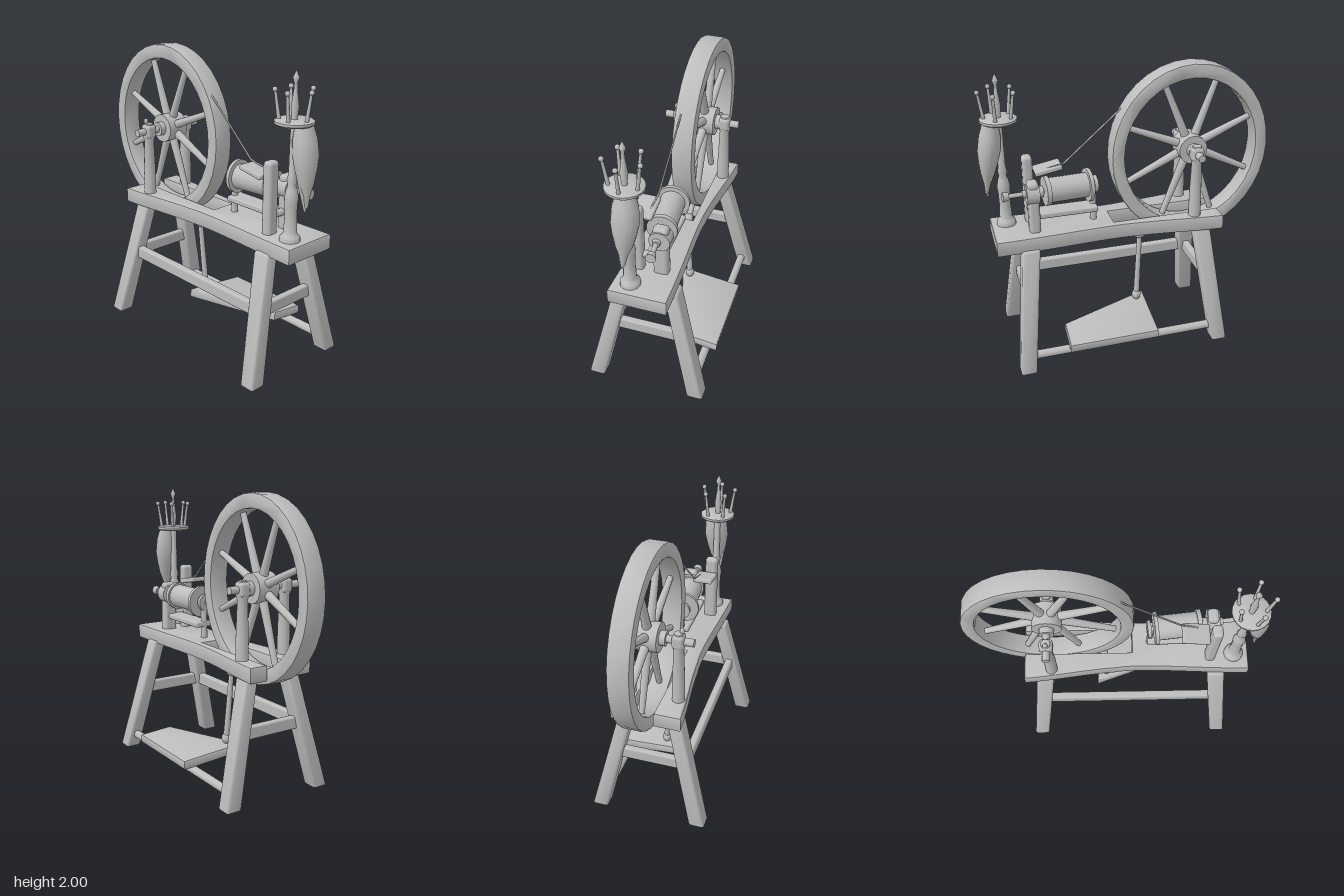
import * as THREE from 'three';
import { toCreasedNormals } from 'three/addons/utils/BufferGeometryUtils.js';
import { RoundedBoxGeometry } from 'three/addons/geometries/RoundedBoxGeometry.js';

const V = (x, y, z) => new THREE.Vector3(x, y, z);

export function createModel() {
  const model = new THREE.Group();
  const wood = new THREE.MeshStandardMaterial({ color: 0xbdbdbd });
  wood.name = 'paleGrey';

  const add = (name, geometry, x = 0, y = 0, z = 0) => {
    const mesh = new THREE.Mesh(geometry, wood);
    mesh.name = name;
    mesh.position.set(x, y, z);
    model.add(mesh);
    return mesh;
  };
  const box = (name, w, h, d, x, y, z, r = 0.012) =>
    add(name, new RoundedBoxGeometry(w, h, d, 2, r), x, y, z);
  // Round bar from a to b
  const rod = (name, a, b, ra, rb = ra, sides = 12) => {
    const mesh = add(name, new THREE.CylinderGeometry(rb, ra, a.distanceTo(b), sides));
    mesh.position.copy(a).add(b).multiplyScalar(0.5);
    mesh.quaternion.setFromUnitVectors(V(0, 1, 0), b.clone().sub(a).normalize());
    return mesh;
  };
  // Square bar from a to b
  const beam = (name, a, b, w, d) => {
    const mesh = add(name, new RoundedBoxGeometry(w, d, a.distanceTo(b), 2, 0.015));
    mesh.position.copy(a).add(b).multiplyScalar(0.5);
    mesh.lookAt(b);
    return mesh;
  };
  const ball = (name, p, rx, ry = rx, rz = rx) =>
    add(name, new THREE.SphereGeometry(1, 14, 10), p.x, p.y, p.z).scale.set(rx, ry, rz);
  const turned = (name, points, x, z, sides = 16) =>
    add(name, toCreasedNormals(new THREE.LatheGeometry(
      points.map(([r, y]) => new THREE.Vector2(r, y)), sides), 0.7), x, 0, z);

  // Waisted bench with an open slot at the back for the wheel
  const bench = new THREE.Shape();
  bench.moveTo(-0.18, -0.93);
  bench.lineTo(0.18, -0.93);
  bench.bezierCurveTo(0.18, -0.5, 0.14, -0.2, 0.16, 0);
  bench.bezierCurveTo(0.17, 0.2, 0.21, 0.4, 0.225, 0.62);
  bench.lineTo(0.125, 0.62);
  bench.lineTo(0.125, -0.14);
  bench.lineTo(-0.07, -0.14);
  bench.lineTo(-0.07, 0.62);
  bench.lineTo(-0.225, 0.62);
  bench.bezierCurveTo(-0.21, 0.4, -0.17, 0.2, -0.16, 0);
  bench.bezierCurveTo(-0.13, -0.2, -0.17, -0.5, -0.18, -0.93);
  const benchGeo = new THREE.ExtrudeGeometry(bench, {
    depth: 0.08, bevelSize: 0.014, bevelThickness: 0.015, bevelSegments: 2, curveSegments: 10,
  });
  benchGeo.rotateX(-Math.PI / 2);
  add('bench', toCreasedNormals(benchGeo, 0.7), 0, 0.845, 0);

  // Splayed legs, sheared so that the feet stay level
  for (const side of [-1, 1]) {
    for (const [name, zTop, zFoot] of [['frontLeg', 0.72, 0.82], ['backLeg', -0.49, -0.585]]) {
      const geo = new RoundedBoxGeometry(0.11, 0.85, 0.115, 2, 0.018);
      const p = geo.attributes.position;
      for (let i = 0; i < p.count; i++) {
        const t = p.getY(i) / 0.85 + 0.5;
        p.setXYZ(i, p.getX(i) * (1.03 - 0.17 * t) + side * (0.36 - 0.2 * t), p.getY(i) + 0.425,
          p.getZ(i) * (0.96 + 0.1 * t) + zFoot + (zTop - zFoot) * t);
      }
      geo.computeVertexNormals();
      add(name, toCreasedNormals(geo, 0.7));
    }
  }

  // Stretchers
  beam('frontStretcher', V(-0.23, 0.475, 0.76), V(0.23, 0.475, 0.76), 0.05, 0.09);
  beam('backStretcher', V(-0.23, 0.475, -0.53), V(0.23, 0.475, -0.53), 0.05, 0.09);
  beam('sideStretcher', V(-0.245, 0.475, 0.74), V(-0.245, 0.475, -0.51), 0.055, 0.09);
  rod('treadleBar', V(0.33, 0.1, 0.8), V(0.33, 0.1, -0.57), 0.03);

  // Treadle board, tilted down to its outer edge
  const board = new THREE.Shape([[-0.04, 0.12], [0.18, -0.5], [0.4, -0.51], [0.4, 0.1]]
    .map(([x, y]) => new THREE.Vector2(x, y)));
  const boardGeo = new THREE.ExtrudeGeometry(board, {
    depth: 0.04, bevelSize: 0.014, bevelThickness: 0.014, bevelSegments: 2,
  });
  boardGeo.rotateX(-Math.PI / 2);
  add('treadle', toCreasedNormals(boardGeo, 0.7), 0, 0.17, 0).rotation.z = -0.09;

  // Footman rod and crank
  rod('footman', V(0.035, 0.25, -0.06), V(0.01, 0.75, -0.09), 0.022, 0.018);
  ball('footmanLowerJoint', V(0.035, 0.26, -0.06), 0.033, 0.04, 0.033);
  ball('footmanUpperJoint', V(0.01, 0.76, -0.09), 0.035, 0.035, 0.045);
  rod('crank', V(0.01, 0.765, -0.11), V(0.02, 0.85, -0.17), 0.02);

  // Wheel
  const cy = 1.385, cz = -0.432, hub = V(0.028, 1.4, -0.442);
  const rim = new THREE.Shape();
  rim.absellipse(0, 0, 0.55, 0.602, 0, Math.PI * 2);
  const opening = new THREE.Path();
  opening.absellipse(0, 0, 0.487, 0.528, 0, Math.PI * 2, true);
  rim.holes.push(opening);
  const rimGeo = new THREE.ExtrudeGeometry(rim, {
    depth: 0.115, bevelSize: 0.013, bevelThickness: 0.014, bevelSegments: 2, curveSegments: 18,
  });
  rimGeo.rotateY(Math.PI / 2);
  add('wheelRim', toCreasedNormals(rimGeo, 0.6), -0.03, cy, cz);
  for (let i = 0; i < 8; i++) {
    const a = (i + 0.5) * Math.PI / 4;
    rod('spoke', V(hub.x, hub.y + 0.06 * Math.sin(a), hub.z + 0.06 * Math.cos(a)),
      V(hub.x, cy + 0.54 * Math.sin(a), cz + 0.5 * Math.cos(a)), 0.031, 0.02);
  }
  rod('hub', V(-0.05, hub.y, hub.z), V(0.105, hub.y, hub.z), 0.1, 0.1, 20);
  rod('hubCollar', V(-0.09, hub.y, hub.z), V(0.145, hub.y, hub.z), 0.05);
  rod('axle', V(-0.27, hub.y, hub.z), V(0.27, hub.y, hub.z), 0.026);

  // Wheel posts
  for (const side of [-1, 1]) {
    const x = side * 0.168;
    turned('wheelPost', [[0, 0.9], [0.043, 0.9], [0.042, 1.1], [0.034, 1.33], [0.042, 1.36],
      [0.044, 1.42], [0.03, 1.455], [0, 1.46]], x, hub.z);
    box('axleBearing', 0.08, 0.1, 0.09, x, 1.4, hub.z, 0.025);
  }
  ball('postFinial', V(-0.19, 1.475, hub.z), 0.016, 0.02, 0.016);

  // Spool and spindle
  const start = V(0.075, 1.21, 0.87), end = V(0.015, 1.2, 0.22);
  const along = (z) => start.clone().lerp(end, (start.z - z) / (start.z - end.z));
  rod('spindle', start, end, 0.016);
  rod('spindleTip', start, along(0.83), 0.034, 0.026);
  rod('spindleCollar', along(0.74), along(0.6), 0.025, 0.04);
  rod('spool', along(0.57), along(0.27), 0.085, 0.085, 20);
  rod('frontFlange', along(0.59), along(0.56), 0.1, 0.1, 20);
  rod('backFlange', along(0.295), along(0.27), 0.115, 0.115, 20);
  rod('pulley', along(0.25), along(0.225), 0.06, 0.06, 16);

  // Spool frame
  box('tallUpright', 0.09, 0.5, 0.07, -0.085, 1.17, 0.675, 0.025);
  box('shortUpright', 0.1, 0.38, 0.075, 0.075, 1.11, 0.67, 0.025);
  rod('shortUprightCap', V(0.075, 1.21, 0.715), V(0.075, 1.21, 0.63), 0.07, 0.07, 16);
  rod('frameCrossbar', V(-0.1, 1.055, 0.675), V(0.1, 1.055, 0.675), 0.025);
  box('frameRail', 0.13, 0.04, 0.44, 0.03, 1.04, 0.45);
  rod('backUpright', V(0.02, 0.9, 0.25), V(0.02, 1.2, 0.25), 0.024, 0.02);
  box('guideBlock', 0.14, 0.035, 0.19, -0.07, 1.32, 0.54).rotation.x = -0.2 + 0.38;

  // Drive cord
  rod('driveCord', V(-0.02, 1.36, 0.435), V(0.0, 1.765, -0.02), 0.006, 0.006, 6);
  rod('cordEnd', V(-0.03, 1.33, 0.56), V(-0.02, 1.36, 0.435), 0.006, 0.006, 6);

  // Distaff post
  const dx = -0.075, dz = 0.84;
  turned('distaffPost', [[0, 0.92], [0.068, 0.92], [0.065, 0.965], [0.043, 0.99], [0.038, 1.1],
    [0.04, 1.18], [0.045, 1.22], [0.035, 1.27], [0.025, 1.3], [0.033, 1.33], [0.024, 1.37],
    [0.022, 1.67], [0.018, 1.72], [0.025, 1.78], [0.012, 1.88], [0.01, 1.92],
    [0.02, 1.95], [0.012, 1.97], [0, 2]], dx, dz);
  turned('distaffDisc', [[0, 1.675], [0.11, 1.675], [0.122, 1.685], [0.122, 1.7],
    [0.11, 1.708], [0, 1.708]], dx, dz, 20);
  for (let i = 0; i < 5; i++) {
    const a = i * Math.PI * 2 / 5 + 0.3;
    const at = (r, y) => V(dx + r * Math.cos(a), y, dz + r * Math.sin(a));
    rod('distaffPin', at(0.09, 1.69), at(0.118, 1.875), 0.013, 0.009, 8);
    ball('pinKnob', at(0.12, 1.88), 0.016);
  }

  // Fibre bundle hanging in front of the post
  const bundle = turned('fibreBundle', [[0, 1.17], [0.014, 1.19], [0.025, 1.26], [0.05, 1.33], [0.07, 1.42],
    [0.082, 1.5], [0.076, 1.6], [0.055, 1.685], [0, 1.69]], 0, 0, 18);
  const bp = bundle.geometry.attributes.position;
  for (let i = 0; i < bp.count; i++) {
    const t = (1.69 - bp.getY(i)) / 0.52;
    bp.setX(i, bp.getX(i) * 1.06 - 0.05 - 0.02 * t * t);
    bp.setZ(i, bp.getZ(i) * 0.92 + 0.895 + 0.06 * t);
  }
  bundle.geometry.computeVertexNormals();
  bundle.geometry = toCreasedNormals(bundle.geometry, 0.9);
  rod('fibreStrand', V(-0.1, 1.36, 0.92), V(-0.075, 1.16, 0.95), 0.02, 0.008, 8);

  return model;
}
